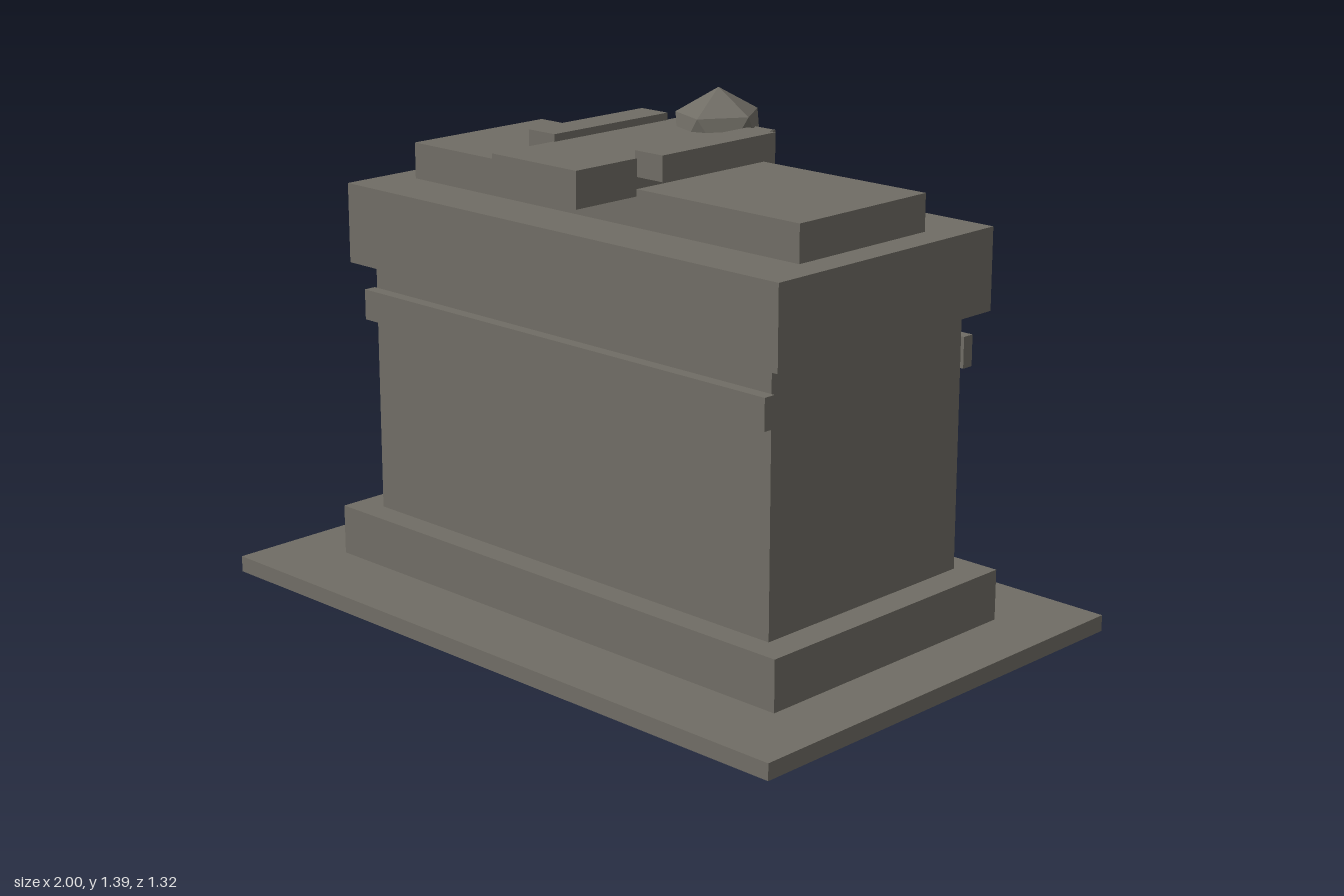
import * as THREE from 'three';

export function createModel() {
  const group = new THREE.Group();
  group.name = 'stoneTomb';
  const stone = new THREE.MeshStandardMaterial({ color: 0x706d65 });
  stone.name = 'weatheredStone';

  const add = (name, geometry) => {
    const mesh = new THREE.Mesh(geometry, stone);
    mesh.name = name;
    group.add(mesh);
    return mesh;
  };

  // Box given by its extents along each axis
  const block = (name, [x0, x1], [y0, y1], [z0, z1]) =>
    add(name, new THREE.BoxGeometry(x1 - x0, y1 - y0, z1 - z0))
      .position.set((x0 + x1) / 2, (y0 + y1) / 2, (z0 + z1) / 2);

  // Stacked base, chest and lid
  const tiers = [
    ['groundSlab', 1, 0, 0.045, 0.66],
    ['plinth', 0.815, 0.045, 0.185, 0.435],
    ['chest', 0.73, 0.185, 0.89, 0.363],
    ['lid', 0.788, 0.89, 1.112, 0.407],
    ['lidTop', 0.702, 1.112, 1.212, 0.238],
  ];
  for (const [name, w, y0, y1, d] of tiers) block(name, [-w, w], [y0, y1], [-d, d]);

  // Moulding strips on the long faces
  block('frontMoulding', [-0.74, 0.74], [0.735, 0.82], [0.363, 0.398]);
  block('backMoulding', [-0.74, 0.74], [0.735, 0.82], [-0.398, -0.363]);

  // Raised ornament lying across the lid
  block('ornamentBar', [-0.153, 0.153], [1.193, 1.291], [-0.283, 0.45]);
  block('rightArm', [-0.245, -0.148], [1.243, 1.311], [-0.183, 0.237]);
  block('leftArm', [0.146, 0.243], [1.243, 1.311], [-0.183, 0.237]);

  // Faceted knob, standing on one point
  const knob = new THREE.IcosahedronGeometry(0.1225, 0);
  knob.rotateX(-Math.atan((1 + Math.sqrt(5)) / 2));
  knob.rotateY(Math.PI / 2);
  knob.scale(1, 1, 1.13);
  knob.computeVertexNormals();
  add('knob', knob).position.set(0, 1.272, -0.225);

  return group;
}
